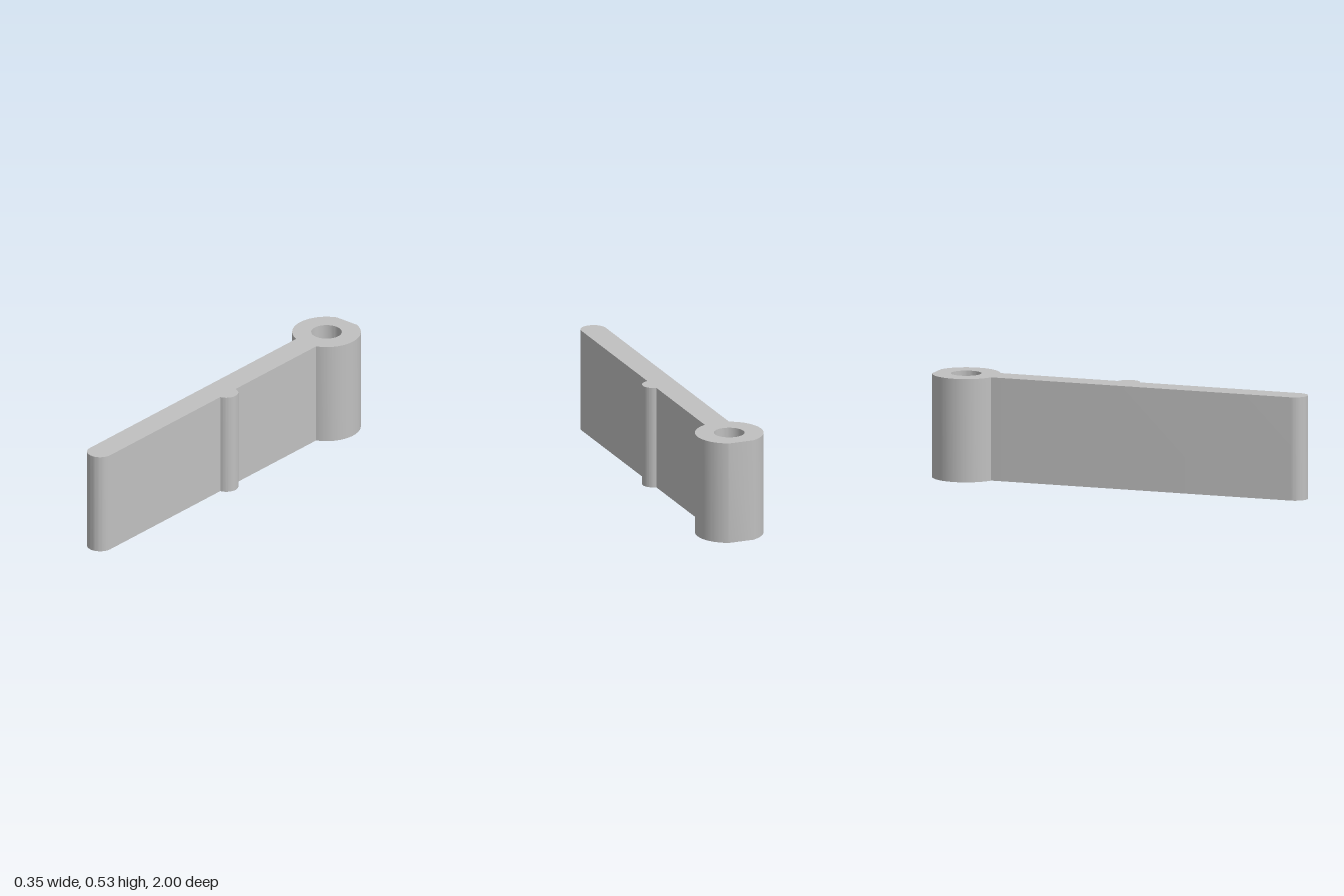
import * as THREE from 'three';
import { toCreasedNormals } from 'three/addons/utils/BufferGeometryUtils.js';

const HEIGHT = 0.528;
const ARM = 0.066; // half width of the arm
const RING = { z: -0.84, radius: 0.173, hole: 0.077 };
const RIB = { x: 0.056, z: 0.012, radius: 0.06 };

export function createModel() {
  const grey = new THREE.MeshStandardMaterial({ color: 0xc0c0c0 });
  grey.name = 'grey';

  // Plan outline, drawn with shape y = -z, counter-clockwise
  const plan = new THREE.Shape();

  // Rounded front tip of the arm
  plan.absarc(0, -(1 - ARM), ARM, Math.PI, 2 * Math.PI, false);

  // Half-round rib on the left side
  const ribAngle = Math.acos((ARM - RIB.x) / RIB.radius);
  plan.absarc(RIB.x, -RIB.z, RIB.radius, -ribAngle, ribAngle, false);

  // Barrel at the back, cut flat at its rear
  const ringAngle = Math.acos(ARM / RING.radius);
  plan.absarc(0, -RING.z, RING.radius, -ringAngle, ringAngle, false);
  plan.absarc(0, -RING.z, RING.radius, Math.PI - ringAngle, Math.PI + ringAngle, false);

  // Pin hole through the barrel
  const hole = new THREE.Path();
  hole.absarc(0, -RING.z, RING.hole, 0, 2 * Math.PI, true);
  plan.holes.push(hole);

  const extruded = new THREE.ExtrudeGeometry(plan, {
    depth: HEIGHT, bevelEnabled: false, curveSegments: 24,
  });
  extruded.rotateX(-Math.PI / 2);

  const lever = new THREE.Mesh(toCreasedNormals(extruded, 0.45), grey);
  lever.name = 'leverArm';

  const group = new THREE.Group();
  group.name = 'hingeLever';
  group.add(lever);
  return group;
}
